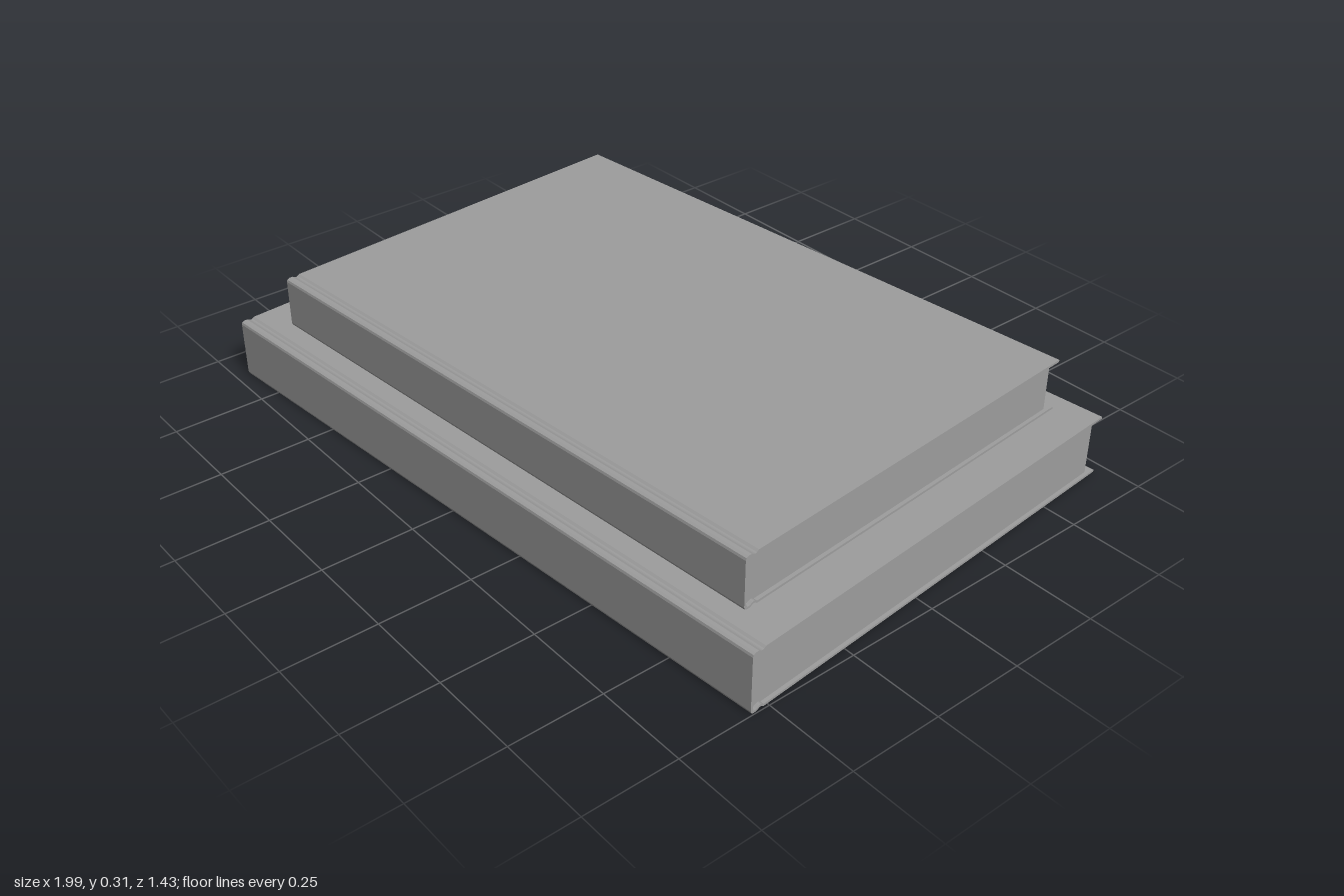
import * as THREE from 'three';

const GREY = new THREE.MeshStandardMaterial({ color: 0x9d9d9d });

// One side of the cover section, from back edge to spine: [z, y] at offset o inside the outer skin
function halfSection(depth, height, o) {
  const f = depth / 2, y = height / 2 - o, dip = 0.005;
  return [
    [-f, y], [f - 0.04, y], [f - 0.034, y - dip * 0.8], [f - 0.03, y - dip],
    [f - 0.026, y - dip * 0.8], [f - 0.018, y],
    [f - 0.008, y], [f - 0.002 - o, y - 0.003], [f - o, y - 0.009],
  ];
}

// Whole C-shaped path: along the top, round the spine, back along the bottom
function section(depth, height, o) {
  const top = halfSection(depth, height, o);
  const bottom = top.map(([z, y]) => [z, -y]).reverse();
  return [...top, ...bottom];
}

function book(name, length, depth, height) {
  const group = new THREE.Group();
  group.name = name;
  const thick = 0.006;

  // Bound cover with hinge grooves and a softened spine
  const points = [...section(depth, height, 0), ...section(depth, height, thick).reverse()]
    .map(([z, y]) => new THREE.Vector2(z, y));
  const coverGeo = new THREE.ExtrudeGeometry(new THREE.Shape(points), { depth: length, bevelEnabled: false });
  coverGeo.translate(0, 0, -length / 2).rotateY(-Math.PI / 2);
  const cover = new THREE.Mesh(coverGeo, GREY);
  cover.name = 'cover';

  // Page block, set in from the three open edges
  const back = -depth / 2 + 0.025, front = depth / 2 - thick;
  const pages = new THREE.Mesh(
    new THREE.BoxGeometry(length - 0.02, height - 2 * thick, front - back), GREY);
  pages.position.z = (back + front) / 2;
  pages.name = 'pages';

  group.add(cover, pages);
  return group;
}

export function createModel() {
  const model = new THREE.Group();
  model.name = 'bookStack';

  const lower = book('lowerBook', 1.892, 1.27, 0.166);
  lower.position.set(0, 0.083, 0);

  const upper = book('upperBook', 1.67, 1.124, 0.143);
  upper.position.set(0.004, 0.2395, -0.013);

  // Both books are turned slightly the same way
  for (const b of [lower, upper]) {
    b.rotation.y = 0.0865;
    model.add(b);
  }
  return model;
}
